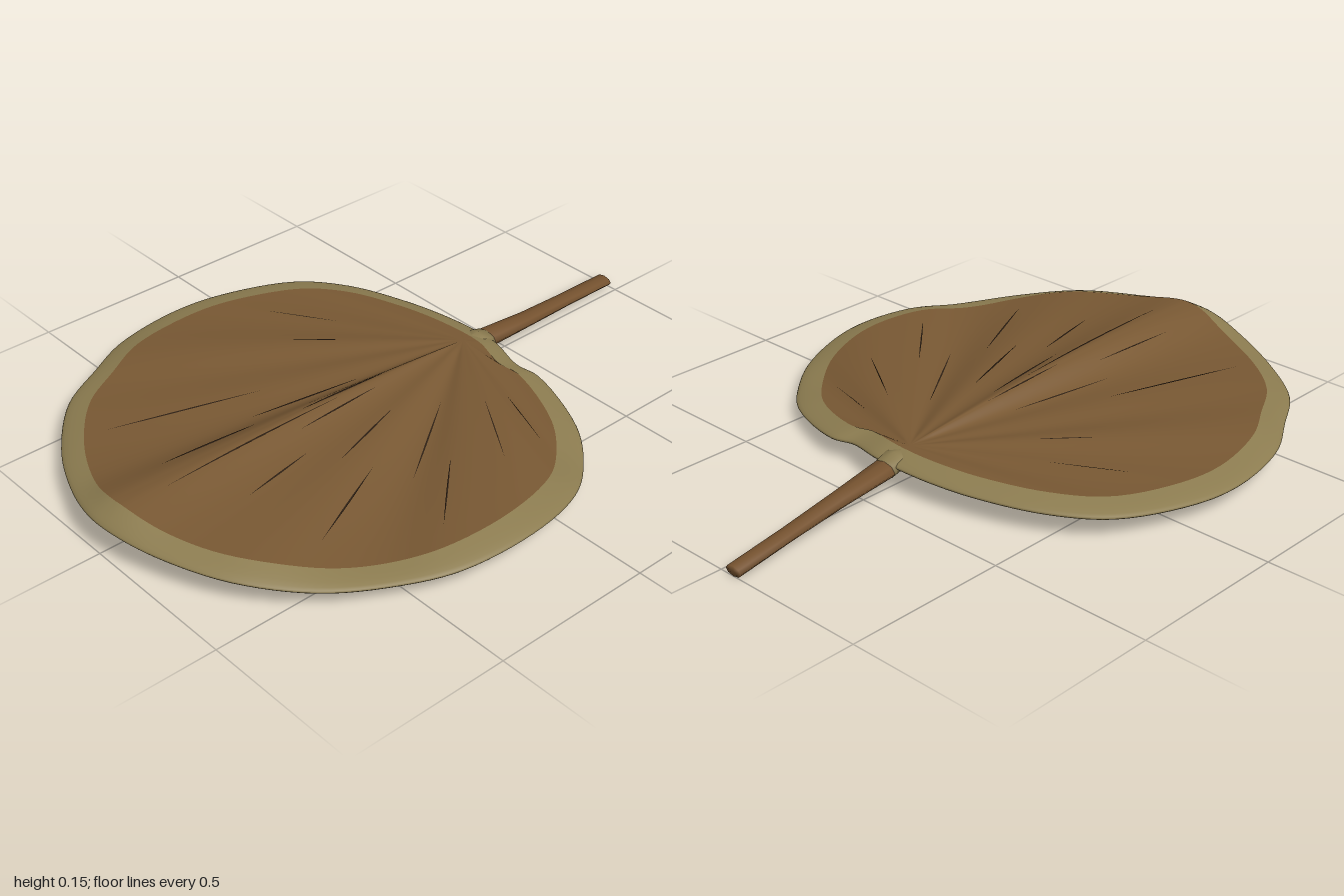
import * as THREE from 'three';
import { mergeVertices } from 'three/addons/utils/BufferGeometryUtils.js';

const mat = (name, color, side = THREE.FrontSide) => {
  const m = new THREE.MeshStandardMaterial({ color, side });
  m.name = name;
  return m;
};

// Smooth grid surface from point(u, v), with u closed and v from 0 to 1
function surface(point, nu, nv, { flip = false, closed = true } = {}) {
  const pos = [], idx = [];
  for (let i = 0; i <= nu; i++)
    for (let j = 0; j <= nv; j++) pos.push(...point(closed ? (i % nu) / nu : i / nu, j / nv).toArray());
  for (let i = 0; i < nu; i++)
    for (let j = 0; j < nv; j++) {
      const a = i * (nv + 1) + j, b = a + 1, d = a + nv + 1, c = d + 1;
      if (flip) idx.push(a, c, b, a, d, c);
      else idx.push(a, b, c, a, c, d);
    }
  let g = new THREE.BufferGeometry();
  g.setAttribute('position', new THREE.Float32BufferAttribute(pos, 3));
  g.setIndex(idx);
  g = mergeVertices(g, 1e-5);
  g.computeVertexNormals();
  return g;
}

// Leaf outline: x, y, z from the stem notch round by the right side and the tip
const OUTLINE = [
  [-0.02, 0.078, -0.41], [-0.16, 0.075, -0.4], [-0.31, 0.072, -0.37], [-0.5, 0.07, -0.3],
  [-0.64, 0.066, -0.19], [-0.74, 0.06, 0.03], [-0.76, 0.058, 0.2], [-0.72, 0.06, 0.42],
  [-0.64, 0.065, 0.57], [-0.55, 0.066, 0.72], [-0.38, 0.064, 0.86], [-0.2, 0.08, 0.95],
  [-0.05, 0.098, 0.995], [0.05, 0.098, 0.995], [0.2, 0.09, 0.96], [0.4, 0.08, 0.87],
  [0.56, 0.062, 0.72], [0.67, 0.055, 0.54], [0.74, 0.064, 0.39], [0.757, 0.066, 0.15],
  [0.7, 0.045, -0.07], [0.61, 0.032, -0.2], [0.48, 0.042, -0.31], [0.25, 0.062, -0.39],
  [0.17, 0.068, -0.38], [0.06, 0.078, -0.405],
];
const edge = new THREE.CatmullRomCurve3(OUTLINE.map(p => new THREE.Vector3(...p)), true, 'centripetal');
const HUB = new THREE.Vector3(0, 0.082, -0.32);
const HALF = 0.02;

// Pleats that fan out from the stem joint, sharper toward the left half
function pleat(a) {
  const midrib = 0.018 * Math.exp(-((a / 0.08) ** 2));
  const fine = 0.007 * Math.sin(a * 17 + 1) * Math.exp(-((a / 0.9) ** 2));
  const broad = 0.008 * Math.sin(a * 7 + 0.4) * (a > 0 ? 1.2 : 0.6);
  return midrib + fine + broad;
}

// Leaf point: t 0..1 from joint to border, 1..2 across the border; side is +1 top, -1 bottom
function leafPoint(u, t, side, lift = 0) {
  const out = edge.getPoint(u);
  const inner = new THREE.Vector3(out.x * 0.895, out.y + 0.006, 0.29 + (out.z - 0.29) * 0.91);
  const p = t <= 1 ? HUB.clone().lerp(inner, t) : inner.clone().lerp(out, t - 1);
  const a = Math.atan2(inner.x - HUB.x, inner.z - HUB.z);
  const reach = Math.min(1, inner.distanceTo(HUB) / 0.7);
  const env = t <= 1 ? Math.sin(Math.PI * 0.8 * t) : 0.588 * (2 - t);
  p.y += pleat(a) * env * reach;
  p.y += side * (HALF * Math.sqrt(Math.min(1, Math.max(0, 2 - t))) + lift);
  return p;
}

// Stalk cross-sections: centre and half widths
const STEM = [
  [-0.05, 0.016, -1, 0.03, 0.015], [-0.032, 0.033, -0.8, 0.03, 0.015],
  [-0.014, 0.05, -0.6, 0.034, 0.018], [-0.002, 0.067, -0.42, 0.042, 0.023],
];
const COLLAR = [
  [-0.002, 0.067, -0.42, 0.043, 0.024], [0, 0.078, -0.38, 0.044, 0.026], [0, 0.085, -0.34, 0.022, 0.017],
];
function stalk(rings) {
  const cap = r => [...r.slice(0, 3), 0, 0];
  const all = [cap(rings[0]), ...rings, cap(rings.at(-1))];
  return surface((u, v) => {
    const [x, y, z, rx, ry] = all[Math.round(v * (all.length - 1))];
    const a = u * Math.PI * 2;
    return new THREE.Vector3(x + rx * Math.cos(a), y + ry * Math.sin(a), z);
  }, 8, all.length - 1, { flip: true });
}

export function createModel() {
  const group = new THREE.Group();
  const brown = mat('leafBrown', 0x785833);
  const tan = mat('borderTan', 0x8c7c50);
  const stemBrown = mat('stemBrown', 0x75522f);
  const dark = mat('creaseDark', 0x2e2014, THREE.DoubleSide);
  const add = (name, geo, m) => {
    const mesh = new THREE.Mesh(geo, m);
    mesh.name = name;
    group.add(mesh);
  };

  // Blade, upper and lower skins
  add('leafTop', surface((u, v) => leafPoint(u, v, 1), 156, 14), brown);
  add('leafUnderside', surface((u, v) => leafPoint(u, v, -1), 156, 14, { flip: true }), brown);

  // Rounded border wrapping from the upper skin to the lower
  add('leafBorder', surface((u, v) => {
    const k = v * 2 - 1;
    return leafPoint(u, 2 - k * k, k < 0 ? 1 : -1);
  }, 156, 10), tan);

  // Thin radial creases on both skins: outline position, start, end
  const creases = [
    [0.2, 0.5, 0.8], [0.27, 0.35, 0.55], [0.38, 0.55, 0.95], [0.42, 0.3, 0.6], [0.45, 0.6, 0.85],
    [0.48, 0.25, 0.5], [0.5, 0.4, 0.9], [0.52, 0.3, 0.55], [0.55, 0.6, 0.8], [0.58, 0.35, 0.6],
    [0.61, 0.6, 0.9], [0.65, 0.3, 0.65], [0.69, 0.6, 0.9], [0.74, 0.4, 0.75], [0.8, 0.5, 0.85],
  ];
  for (const [u, t0, t1] of creases)
    for (const side of [1, -1])
      add('crease', surface((s, v) => {
        const p = leafPoint(u, t0 + (t1 - t0) * v, side, 0.002);
        p.x += (s - 0.5) * 0.006 * Math.sin(Math.PI * v);
        return p;
      }, 1, 8, { closed: false }), dark);

  // Stalk and its pale joint
  add('stem', stalk(STEM), stemBrown);
  add('stemJoint', stalk(COLLAR), tan);
  return group;
}
